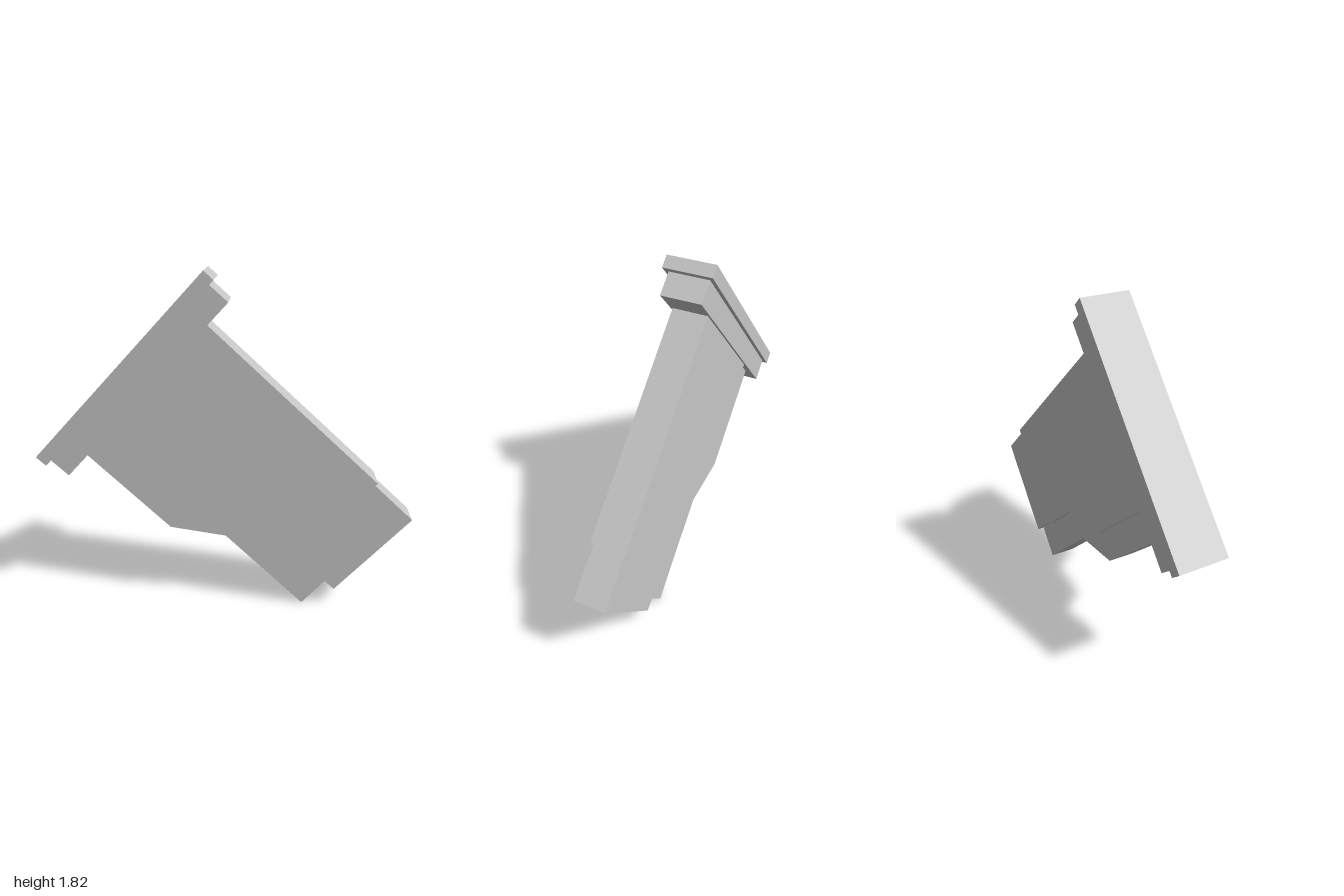
import * as THREE from 'three';

export function createModel() {
  const model = new THREE.Group();
  const grey = new THREE.MeshStandardMaterial({ color: 0xc6c6c6 });
  grey.name = 'lightGrey';

  // Flat slab: side outline extruded evenly about z = 0
  function slab(name, halfWidth, points) {
    const shape = new THREE.Shape(points.map(([x, y]) => new THREE.Vector2(x, y)));
    const geometry = new THREE.ExtrudeGeometry(shape, { depth: halfWidth * 2, bevelEnabled: false });
    geometry.translate(0, 0, -halfWidth);
    const mesh = new THREE.Mesh(geometry, grey);
    mesh.name = name;
    model.add(mesh);
  }

  // Wide end plate and the step below it
  slab('endPlate', 0.132, [[-1, 0.85], [-0.948, 0.803], [-0.05, 1.777], [-0.1, 1.823]]);
  slab('collar', 0.109, [[-0.932, 0.83], [-0.835, 0.743], [0.02, 1.668], [-0.077, 1.755]]);

  // Main body with a kinked lower edge
  slab('body', 0.096, [
    [-0.64, 0.968], [-0.197, 0.56], [0.13, 0.513], [0.39, 0.276],
    [0.806, 0.733], [-0.09, 1.557],
  ]);

  // Narrow rib following the kink, its inner side buried in the body
  slab('lowerRib', 0.07, [
    [-0.742, 0.85], [-0.298, 0.44], [0.005, 0.397], [0.43, 0],
    [0.62, 0.21], [0.2, 0.62], [-0.15, 0.68], [-0.6, 1.0],
  ]);

  // Slightly thinner block at the lower end
  slab('endBlock', 0.086, [[0.34, 0.337], [0.605, 0.1], [1, 0.527], [0.74, 0.768]]);

  return model;
}
